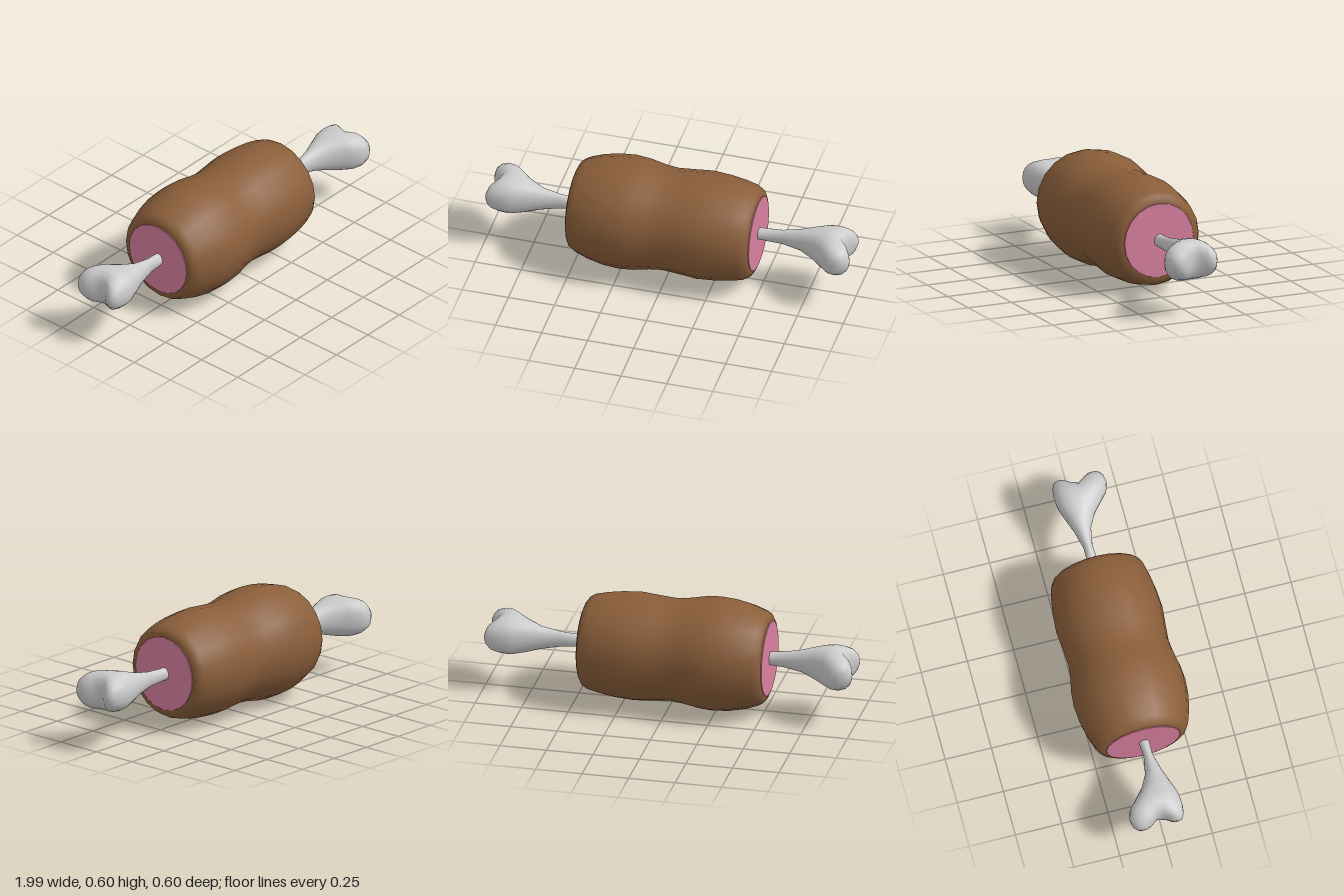
import * as THREE from 'three';
import { mergeVertices } from 'three/addons/utils/BufferGeometryUtils.js';

const AXIS_Y = 0.302;

// Surface of revolution about the x axis, from [x, radius] pairs
function latheX(points, color, name) {
  const profile = points.map(([x, r]) => new THREE.Vector2(r, x));
  const geometry = new THREE.LatheGeometry(profile, 20).rotateZ(-Math.PI / 2);
  const mesh = new THREE.Mesh(geometry, new THREE.MeshStandardMaterial({ color }));
  mesh.name = name;
  mesh.position.y = AXIS_Y;
  return mesh;
}

// Half a bone: rounded sections swept along +x, with a notch between the two knuckles
function boneGeometry() {
  // x, back z, front z, half height
  const sections = [
    [0.40, -0.035, 0.032, 0.034], [0.50, -0.033, 0.026, 0.034],
    [0.60, -0.030, 0.018, 0.043], [0.70, -0.055, 0.036, 0.063],
    [0.78, -0.082, 0.078, 0.088], [0.84, -0.103, 0.130, 0.102],
    [0.88, -0.110, 0.165, 0.106], [0.92, -0.111, 0.179, 0.103],
    [0.96, -0.106, 0.173, 0.090], [0.984, -0.093, 0.155, 0.065],
    [0.994, -0.078, 0.137, 0.034], [0.997, -0.070, 0.125, 0],
  ];
  const sides = 24;
  const soften = (v, p) => Math.sign(v) * Math.abs(v) ** p;
  const positions = [], index = [];
  sections.forEach(([x, z0, z1, h], i) => {
    const ramp = THREE.MathUtils.clamp((x - 0.85) / 0.145, 0, 1);
    const power = 1 - 0.2 * THREE.MathUtils.clamp((x - 0.7) / 0.15, 0, 1);
    for (let j = 0; j < sides; j++) {
      const a = (j / sides) * Math.PI * 2;
      const z = (z0 + z1) / 2 + ((z1 - z0) / 2) * soften(Math.sin(a), power);
      const notch = 0.052 * ramp * Math.exp(-(((z - 0.02) / 0.05) ** 2));
      positions.push(x - notch, h * soften(Math.cos(a), power), z);
      if (i < sections.length - 1) {
        const p = i * sides + j, q = i * sides + (j + 1) % sides;
        index.push(p, q, p + sides, q, q + sides, p + sides);
      }
    }
  });
  const geometry = new THREE.BufferGeometry();
  geometry.setAttribute('position', new THREE.Float32BufferAttribute(positions, 3));
  geometry.setIndex(index);
  const merged = mergeVertices(geometry, 1e-5);
  merged.computeVertexNormals();
  return merged;
}

export function createModel() {
  const group = new THREE.Group();

  // Browned outside with two swells and rounded ends
  group.add(latheX([
    [-0.522, 0.2], [-0.52, 0.218], [-0.508, 0.237], [-0.48, 0.254], [-0.41, 0.278],
    [-0.33, 0.295], [-0.24, 0.302], [-0.16, 0.295], [-0.08, 0.279], [-0.01, 0.271],
    [0.07, 0.277], [0.18, 0.287], [0.28, 0.28], [0.36, 0.268], [0.425, 0.253],
    [0.453, 0.236], [0.465, 0.217], [0.467, 0.2],
  ], 0x8a5e3a, 'meat'));

  // Pink cut faces
  group.add(latheX([[-0.527, 0], [-0.527, 0.198], [-0.526, 0.2], [-0.515, 0.2]], 0xd9809f, 'rightCut'));
  group.add(latheX([[0.46, 0.2], [0.471, 0.2], [0.472, 0.198], [0.472, 0]], 0xd9809f, 'leftCut'));

  // Bone ends, one turned half round
  const geometry = boneGeometry();
  const boneMaterial = new THREE.MeshStandardMaterial({ color: 0xcccccc });
  for (const [name, turn] of [['leftBone', 0], ['rightBone', Math.PI]]) {
    const bone = new THREE.Mesh(geometry, boneMaterial);
    bone.name = name;
    bone.position.y = AXIS_Y;
    bone.rotation.y = turn;
    group.add(bone);
  }
  return group;
}
